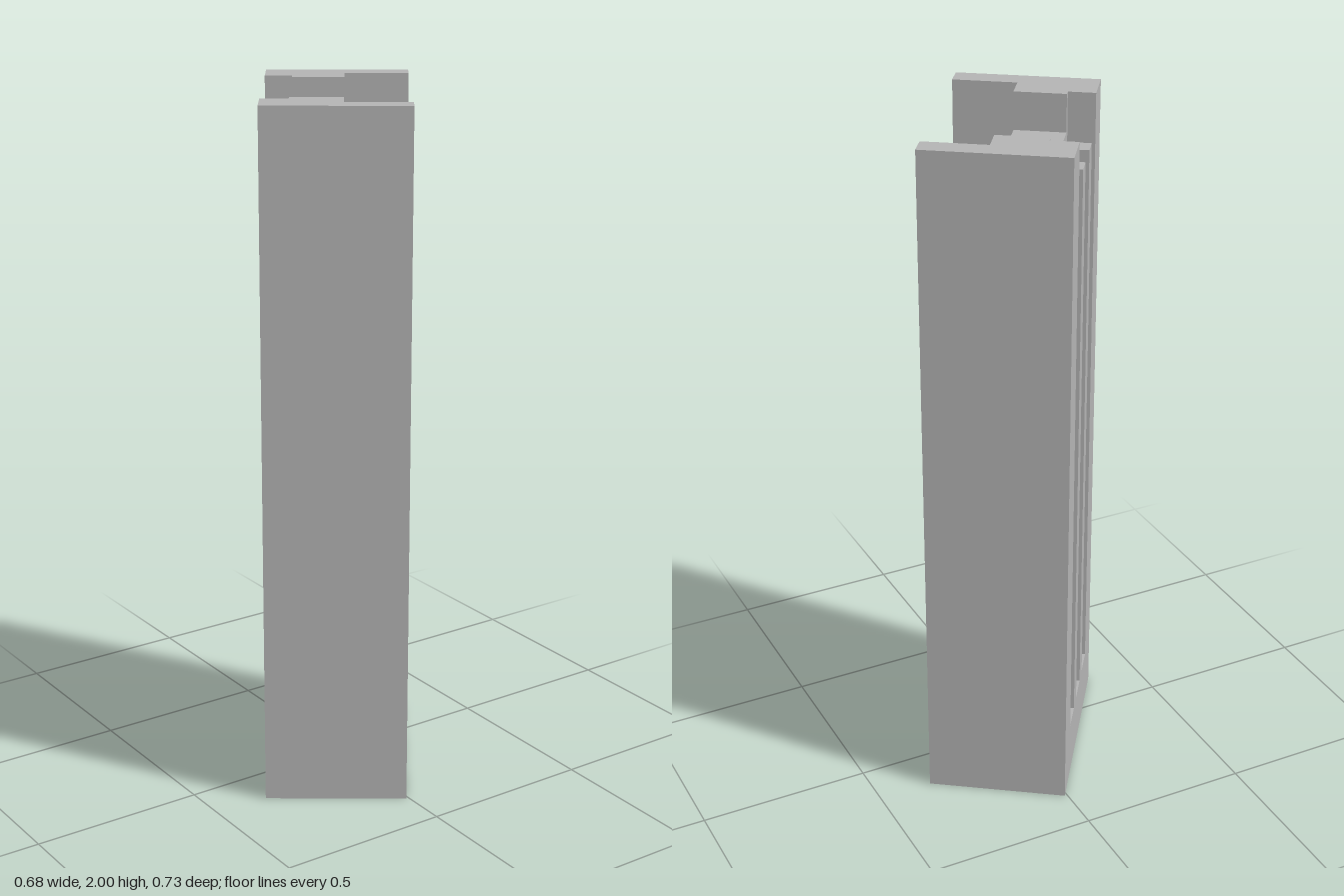
import * as THREE from 'three';

const W = 0.2025, D = 0.305;          // half width (u) and half depth (v) of the block
const GROOVE = -0.125;                // floor of the back grooves
const POCKET = 0.021, POCKET_V = 0.244; // pocket floor and half length
const NOTCH_V = 0.17;                 // half length of the top notch
const LEVELS = { groove: 0.17, pocket: 1.58, notch: 1.89, top: 2 };
const GROOVES = [[-0.19, -0.099], [-0.045, 0.045], [0.099, 0.19]];

export function createModel() {
  const grey = new THREE.MeshStandardMaterial({ color: 0xb4b4b4 });
  grey.name = 'plain grey';
  const model = new THREE.Group();
  model.name = 'slottedBlock';

  // Extrudes a plan outline of [u, v] points between two heights
  const layer = (name, outline, y0, y1) => {
    const shape = new THREE.Shape(outline.map(([u, v]) => new THREE.Vector2(u, -v)));
    const geometry = new THREE.ExtrudeGeometry(shape, { depth: y1 - y0, bevelEnabled: false });
    geometry.rotateX(-Math.PI / 2).translate(0, y0, 0);
    const mesh = new THREE.Mesh(geometry, grey);
    mesh.name = name;
    model.add(mesh);
  };

  // Back edge with its three grooves, and front edge with or without the pocket
  const groovedEdge = [[-W, -D]];
  for (const [a, b] of GROOVES) groovedEdge.push([-W, a], [GROOVE, a], [GROOVE, b], [-W, b]);
  groovedEdge.push([-W, D]);
  const plainEdge = [[W, D], [W, -D]];
  const pocketEdge = [[W, D], [W, POCKET_V], [POCKET, POCKET_V], [POCKET, -POCKET_V], [W, -POCKET_V], [W, -D]];

  layer('solidBase', [...plainEdge, [-W, -D], [-W, D]], 0, LEVELS.groove);
  layer('groovedBody', [...groovedEdge, ...plainEdge], LEVELS.groove, LEVELS.pocket);
  layer('pocketWall', [...groovedEdge, ...pocketEdge], LEVELS.pocket, LEVELS.notch);

  // Mirrored posts on both sides of the top notch
  const grooveEnd = GROOVES[2][1];
  const post = [
    [-W, grooveEnd], [GROOVE, grooveEnd], [GROOVE, NOTCH_V], [POCKET, NOTCH_V],
    [POCKET, POCKET_V], [W, POCKET_V], [W, D], [-W, D],
  ];
  for (const side of [1, -1]) {
    layer(side > 0 ? 'frontPost' : 'backPost', post.map(([u, v]) => [u, v * side]), LEVELS.notch, LEVELS.top);
  }

  // The block stands turned about its vertical axis
  model.rotation.y = -0.608;
  return model;
}
